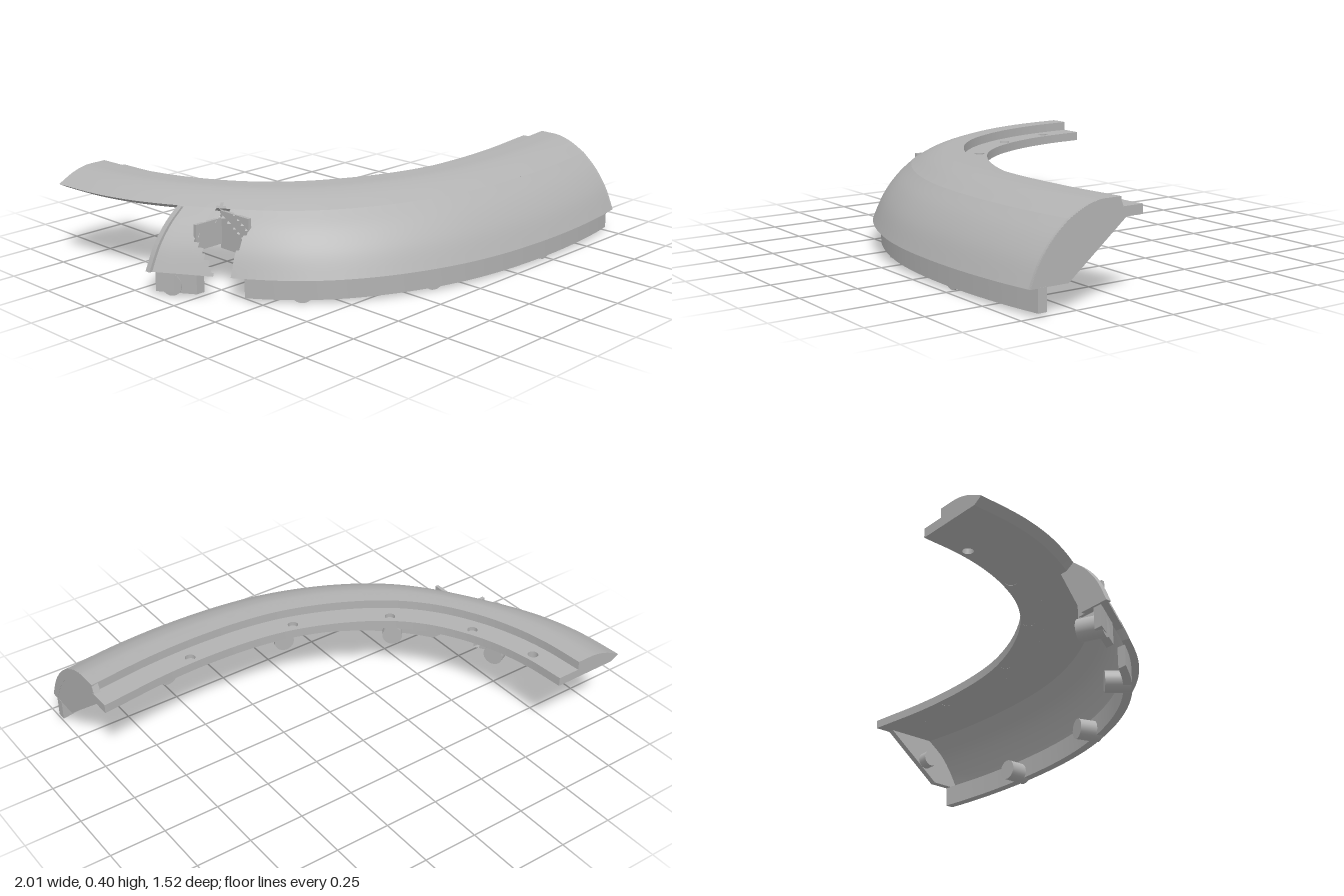
import * as THREE from 'three';
import { toCreasedNormals } from 'three/addons/utils/BufferGeometryUtils.js';

const grey = new THREE.MeshStandardMaterial({ color: 0xb2b2b2, side: THREE.DoubleSide });
grey.name = 'plain grey';

// Ridge line in plan (x, z), from the back tip to the front end
const ridge = new THREE.CatmullRomCurve3([
  [-0.75, -0.76], [-0.735, -0.565], [-0.70, -0.4], [-0.64, -0.24], [-0.54, -0.07], [-0.40, 0.075],
  [-0.2, 0.20], [0.02, 0.287], [0.2, 0.325], [0.45, 0.342], [0.7, 0.333], [1, 0.295],
].map(([x, z]) => new THREE.Vector3(x, 0, z)));
ridge.arcLengthDivisions = 500;

// Outward direction in plan, squared off at both ends
function outward(s) {
  const t = ridge.getTangentAt(s);
  const n = new THREE.Vector3(-t.z, 0, t.x);
  n.z *= Math.min(1, s / 0.06);
  n.x *= Math.min(1, (1 - s) / 0.08);
  return n.normalize();
}

// Point at distance d outside the ridge; the body narrows a little at the bend
function place(along, d, y = 0) {
  const s = THREE.MathUtils.clamp(along, 0, 1);
  const narrow = d > 0 ? 1 - 0.15 * Math.exp(-(((s - 0.27) / 0.12) ** 2)) : 1;
  const p = ridge.getPointAt(s).addScaledVector(outward(s), d * narrow);
  p.y = y;
  return p;
}

// Position along the ridge where the offset line reaches a coordinate
function find(d, axis, value, lo = 0.02, hi = 0.98) {
  for (let i = 0; i < 24; i++) {
    const mid = (lo + hi) / 2;
    if (place(mid, d)[axis] < value) lo = mid; else hi = mid;
  }
  return lo;
}

const inSlot = (p) => p.x > -0.86 && p.x < -0.725 && p.z > -0.02 && p.z < 0.14;

// Sweep a closed section [d, y] along the ridge, leaving out the square slot
function sweep(section, start, end, n) {
  const pos = [];
  const rows = section.map(([d, y]) => {
    const a = start(d), b = end(d);
    return Array.from({ length: n + 1 }, (_, i) => place(a + (b - a) * i / n, d, y));
  });
  const tri = (...ps) => ps.forEach((p) => pos.push(p.x, p.y, p.z));
  rows.forEach((row, j) => {
    const next = rows[(j + 1) % rows.length];
    for (let i = 0; i < n; i++) {
      if (inSlot(row[i].clone().add(next[i + 1]).multiplyScalar(0.5))) continue;
      tri(row[i], row[i + 1], next[i]);
      tri(next[i], row[i + 1], next[i + 1]);
    }
  });
  const faces = THREE.ShapeUtils.triangulateShape(section.map(([d, y]) => new THREE.Vector2(d, y)), []);
  for (const [a, b, c] of faces) {
    tri(rows[a][0], rows[b][0], rows[c][0]);
    tri(rows[a][n], rows[c][n], rows[b][n]);
  }
  const g = new THREE.BufferGeometry();
  g.setAttribute('position', new THREE.Float32BufferAttribute(pos, 3));
  return toCreasedNormals(g, 0.5);
}

export function createModel() {
  const model = new THREE.Group();
  const add = (name, geometry) => {
    const mesh = new THREE.Mesh(geometry, grey);
    mesh.name = name;
    model.add(mesh);
    return mesh;
  };
  const smooth = (pts, n) => new THREE.SplineCurve(pts.map((p) => new THREE.Vector2(...p)))
    .getPoints(n).map((p) => [p.x, p.y]);

  // Rounded top, running the full length, with a flat underside
  const top = smooth([[0.07, 0.405], [0.11, 0.401], [0.17, 0.383], [0.24, 0.347]], 12);
  add('topShell', sweep([[0, 0.405], ...top, [0.2, 0.325], [0.1, 0.325], [0, 0.325]],
    () => 0, () => 1, 220));

  // Curved outer side, cut square behind the bend
  const side = smooth([[0.24, 0.347], [0.31, 0.285], [0.37, 0.205], [0.415, 0.108]], 14);
  const inside = smooth([[0.375, 0.108], [0.335, 0.185], [0.28, 0.26], [0.2, 0.325]], 14);
  const cut = (d) => find(d, 'z', -0.16, 0.02, 0.6);
  add('sideShell', sweep([...side, ...inside], cut, () => 1, 200));

  // Inner ledge with round screw holes
  const edge = (d) => Array.from({ length: 101 }, (_, i) => place(i / 100, d))
    .map((p) => new THREE.Vector2(p.x, -p.z));
  const ledge = new THREE.Shape([...edge(-0.105), ...edge(0).reverse()]);
  const holes = [[-0.67, -0.565], [-0.58, -0.27], [-0.35, 0.027], [0.04, 0.225], [0.54, 0.275]];
  holes.forEach(([x, z], i) => {
    ledge.holes.push(new THREE.Path().absarc(x, -z, 0.023, 0, Math.PI * 2, true));
    if (i > 0) add('holeFloor', new THREE.CylinderGeometry(0.024, 0.024, 0.02, 20)).position.set(x, 0.336, z);
  });
  const ledgeGeo = new THREE.ExtrudeGeometry(ledge, { depth: 0.04, bevelEnabled: false, curveSegments: 10 });
  add('ledge', toCreasedNormals(ledgeGeo.rotateX(-Math.PI / 2), 0.5)).position.y = 0.325;

  // Lower lip in two runs, either side of the slot
  const lip = [[0.34, 0.015], [0.38, 0.015], [0.38, 0.11], [0.34, 0.11]];
  const at = (z) => (d) => find(d, 'z', z, 0.02, 0.6);
  add('longLip', sweep(lip, at(0.17), () => 1, 90));
  add('shortLip', sweep(lip, at(-0.15), at(0.0), 12));

  // Pegs pointing inward from the lip
  for (const s of [0.225, ...[-0.58, -0.12, 0.48].map((x) => find(0.3, 'x', x, 0.15))]) {
    const peg = add('peg', new THREE.CylinderGeometry(0.047, 0.047, 0.11, 24));
    peg.position.copy(place(s, 0.315, 0.047));
    peg.quaternion.setFromUnitVectors(new THREE.Vector3(0, 1, 0), outward(s));
  }

  // Closing web at the front end, with its boss
  const arc = [...top, ...side.slice(1)];
  const web = new THREE.Shape([[0, 0.4], ...arc, [0.24, 0.108], [-0.03, 0.325]]
    .map(([d, y]) => new THREE.Vector2(-0.297 - d, y)));
  const webMesh = add('endWeb', new THREE.ExtrudeGeometry(web, { depth: 0.03, bevelEnabled: false }));
  webMesh.rotation.y = Math.PI / 2;
  webMesh.position.x = 0.969;
  const boss = add('endBoss', new THREE.CylinderGeometry(0.04, 0.04, 0.08, 24));
  boss.rotation.z = Math.PI / 2;
  boss.position.set(0.959, 0.21, 0.475);

  // Closing web where the side is cut off
  const cutPts = side.map(([d, y]) => new THREE.Vector2(place(cut(d), d).x, y));
  const rear = new THREE.Shape([...cutPts, new THREE.Vector2(-0.87, 0.108), new THREE.Vector2(-0.76, 0.325)]);
  add('rearWeb', new THREE.ExtrudeGeometry(rear, { depth: 0.025, bevelEnabled: false })).position.z = -0.16;

  // Walls lining the square slot
  const wall = (name, w, h, d, x, y, z) => add(name, new THREE.BoxGeometry(w, h, d)).position.set(x, y, z);
  wall('slotSideWall', 0.015, 0.16, 0.17, -0.717, 0.25, 0.06);
  wall('slotBackWall', 0.14, 0.11, 0.015, -0.79, 0.245, -0.025);

  return model;
}
